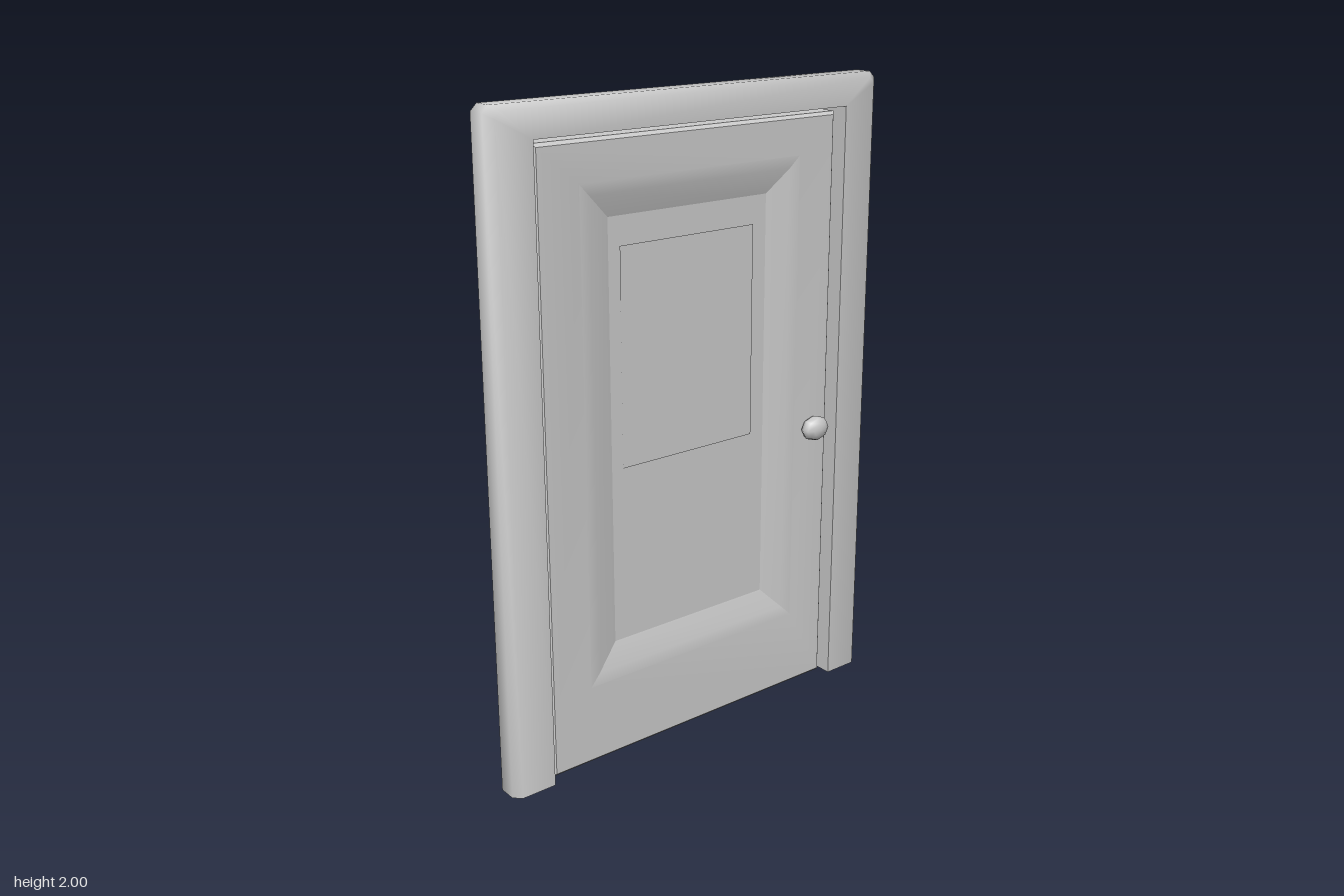
import * as THREE from 'three';
import { toCreasedNormals } from 'three/addons/utils/BufferGeometryUtils.js';

// Skins a row of equal-sized closed cross-sections
function loft(sections, crease) {
  const n = sections[0].length, index = [];
  for (let i = 0; i < sections.length - 1; i++) {
    for (let j = 0; j < n; j++) {
      const k = (j + 1) % n;
      const a = i * n + j, b = i * n + k, c = b + n, d = a + n;
      index.push(a, d, c, a, c, b);
    }
  }
  const g = new THREE.BufferGeometry();
  g.setAttribute('position', new THREE.Float32BufferAttribute(sections.flat(2), 3));
  g.setIndex(index);
  return toCreasedNormals(g, crease);
}

// Upright rectangle of half width w, from y0 to y1, at depth z
const rect = (w, y0, y1, z) => [[-w, y0, z], [w, y0, z], [w, y1, z], [-w, y1, z]];

export function createModel() {
  const root = new THREE.Group();
  root.name = 'door';
  const grey = new THREE.MeshStandardMaterial({ color: 0xcccccc, side: THREE.DoubleSide });
  const add = (name, geometry, x = 0, y = 0, z = 0) => {
    const mesh = new THREE.Mesh(geometry, grey);
    mesh.name = name;
    mesh.position.set(x, y, z);
    root.add(mesh);
    return mesh;
  };

  // Frame: chamfered hollow profile (0 = opening edge, 1 = outer edge)
  // swept up one jamb, across the mitred head and down the other jamb
  const profile = [[0, 0.05], [0.83, 0.05], [1, 0.028], [1, -0.028], [0.83, -0.05], [0, -0.05]];
  const inner = 0.558, jamb = 0.137, opening = 1.905, head = 0.095, cut = 0.02;
  const section = (side, atFloor, alongHead) => profile.map(([o, z]) => [
    side * (inner + o * jamb - (alongHead ? o * cut : 0)),
    atFloor ? 0 : opening + o * head - (alongHead ? 0 : o * cut),
    z,
  ]);
  add('frame', loft([
    section(-1, true, false), section(-1, false, false), section(-1, false, true),
    section(1, false, true), section(1, false, false), section(1, true, false),
  ], 1.1));

  // Door leaf: rectangular rings from the front panel, around the rim, to the back panel
  const w = 0.543, y0 = 0.005, y1 = 1.89, e = 0.01;
  add('doorLeaf', loft([
    rect(0, 0.37, 1.665, -0.003),
    rect(0.29, 0.37, 1.665, -0.003),
    rect(0.365, 0.295, 1.735, 0.0185),
    rect(0.4, 0.26, 1.77, 0.0235),
    rect(w - e, y0 + e, y1 - e, 0.0235),
    rect(w, y0, y1, 0.0135),
    rect(w, y0, y1, -0.042),
    rect(w - e, y0 + e, y1 - e, -0.052),
    rect(0.405, 0.26, 1.77, -0.052),
    rect(0.35, 0.37, 1.665, -0.014),
    rect(0, 0.37, 1.665, -0.014),
  ], 0.2), -0.002);

  // Thin sheet on the front panel
  add('panelSheet', new THREE.PlaneGeometry(0.49, 0.66), -0.01, 1.25, 0.001);

  // Flattened knob on a short stem
  const knob = add('knob', new THREE.SphereGeometry(1, 8, 6).rotateX(Math.PI / 2), 0.47, 0.9, 0.045);
  knob.scale.set(0.052, 0.041, 0.03);
  add('knobStem', new THREE.CylinderGeometry(0.02, 0.02, 0.03, 8).rotateX(Math.PI / 2), 0.47, 0.9, 0.032);

  // The whole door stands very slightly turned
  root.rotation.y = -0.0054;
  root.position.z = -0.0135;
  const model = new THREE.Group();
  model.add(root);
  return model;
}
